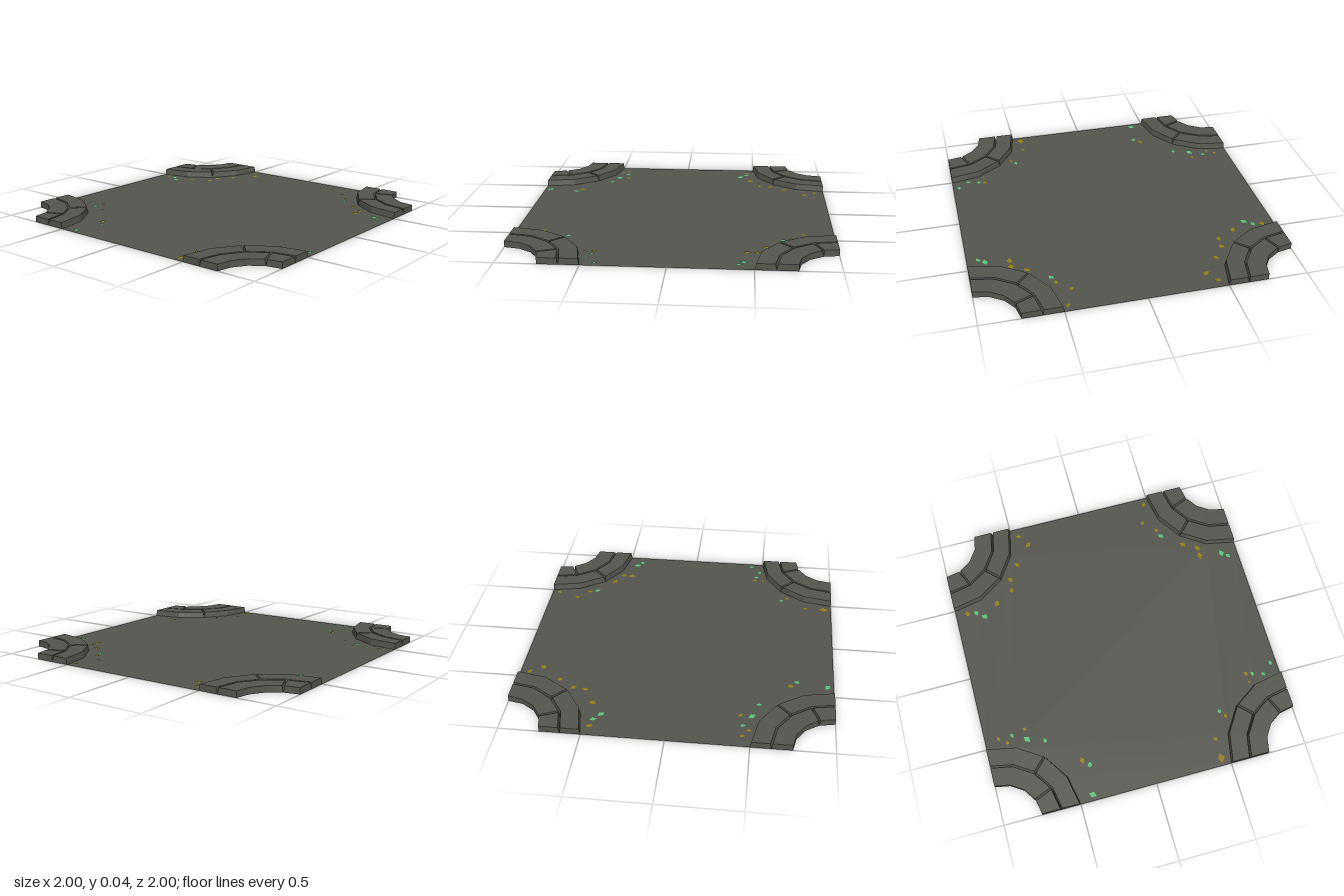
import * as THREE from 'three';

const stone = new THREE.MeshStandardMaterial({ color: 0x565650, side: THREE.DoubleSide });
stone.name = 'greyStone';
const gold = new THREE.MeshStandardMaterial({ color: 0x95820c, side: THREE.DoubleSide });
gold.name = 'goldLeaf';
const green = new THREE.MeshStandardMaterial({ color: 0x58c878, side: THREE.DoubleSide });
green.name = 'greenLeaf';

const HEIGHT = 0.04, BEVEL = 0.007, STEP = Math.PI / 8;

function flatMesh(points, material, name) {
  const g = new THREE.BufferGeometry();
  g.setAttribute('position', new THREE.Float32BufferAttribute(points.flat(), 3));
  g.computeVertexNormals();
  const mesh = new THREE.Mesh(g, material);
  mesh.name = name;
  return mesh;
}

// Curved slab, open underneath, around the tile corner (1, 1), from step s0 to step s1
function curbSlab(name, r0, r1, s0, s1, bevelIn, bevelOut) {
  const sections = [];
  for (let s = s0; s <= s1; s++) {
    // tops draw back from a joint, but stay flush with the tile border
    const shift = s === s0 && s > 0 ? 1 : s === s1 && s < 4 ? -1 : 0;
    const at = (r, y) => {
      const t = s * STEP + (y > 0 ? shift * BEVEL / r : 0);
      return [1 - r * Math.sin(t), y, 1 - r * Math.cos(t)];
    };
    sections.push([at(r0, 0), at(r0 + bevelIn, HEIGHT), at(r1 - bevelOut, HEIGHT), at(r1, 0)]);
  }
  const points = [];
  const quad = (a, b, c, d) => points.push(a, b, c, a, c, d);
  for (let k = 0; k < sections.length - 1; k++) {
    const p = sections[k], q = sections[k + 1];
    for (let j = 0; j < 3; j++) quad(p[j], p[j + 1], q[j + 1], q[j]);
  }
  quad(...[...sections[0]].reverse());
  quad(...sections[sections.length - 1]);
  return flatMesh(points, stone, name);
}

// Ground with a faceted quarter circle cut from each corner
function roadSurface() {
  const outline = [];
  for (let c = 0; c < 4; c++) {
    const turn = c * Math.PI / 2;
    for (let s = 4; s >= 0; s--) {
      const p = new THREE.Vector2(1 - 0.5 * Math.sin(s * STEP), 1 - 0.5 * Math.cos(s * STEP));
      // walk each arc so that the outline runs round the tile
      outline.push(new THREE.Vector2(p.y, p.x).rotateAround(new THREE.Vector2(), turn));
    }
  }
  const sorted = outline.sort((a, b) => Math.atan2(a.y, a.x) - Math.atan2(b.y, b.x));
  const g = new THREE.ShapeGeometry(new THREE.Shape(sorted));
  g.rotateX(-Math.PI / 2);
  const mesh = new THREE.Mesh(g, stone);
  mesh.name = 'roadSurface';
  return mesh;
}

// Scattered leaves: [x, z, half length, turn]
const goldLeaves = [
  [-0.45, -0.91, 0.018, 0.3], [-0.49, -0.86, 0.017, 0.2], [-0.43, -0.73, 0.018, 0.9], [-0.73, -0.42, 0.025, 0.2],
  [0.46, -0.92, 0.024, 0.3], [0.48, -0.71, 0.026, -0.4], [0.55, -0.59, 0.022, 0], [0.63, -0.58, 0.025, 0.7],
  [0.73, -0.51, 0.022, 0.6], [0.86, -0.40, 0.026, -0.7], [0.94, -0.45, 0.022, 1.2],
  [-0.95, 0.45, 0.034, 0.1], [-0.82, 0.45, 0.019, 0.8], [-0.69, 0.56, 0.018, 0.4], [-0.51, 0.78, 0.012, 0.2],
  [-0.45, 0.78, 0.02, 0.5], [0.81, 0.42, 0.019, -0.5], [0.95, 0.47, 0.02, -0.4], [0.73, 0.50, 0.02, 0.2],
  [0.575, 0.65, 0.025, 0.9], [0.46, 0.74, 0.028, 0.1], [0.52, 0.74, 0.026, 0.2],
];
const greenLeaves = [
  [-0.45, -0.82, 0.018, 0.5], [-0.50, -0.73, 0.028, 0.8], [-0.54, -0.62, 0.019, 0.1], [-0.96, -0.41, 0.028, 1.1],
  [-0.77, -0.38, 0.022, -0.3], [0.45, -0.86, 0.023, 0.4], [0.41, -0.81, 0.027, 0.9],
  [-0.65, 0.53, 0.018, 0.3], [-0.46, 0.82, 0.019, 0.2], [-0.48, 0.89, 0.018, 0.8], [-0.42, 0.96, 0.019, 0.2],
  [0.68, 0.52, 0.024, 0.8], [0.44, 0.89, 0.028, 0.3], [0.41, 0.93, 0.021, 0.7],
];

function leaves(list, material, name) {
  const kite = [[1, 0], [0.15, 0.65], [-0.9, 0.25], [-0.1, -0.65]];
  const points = [];
  for (const [x, z, size, turn] of list) {
    const c = Math.cos(turn) * size, s = Math.sin(turn) * size;
    const p = kite.map(([u, v]) => [x + u * c - v * s, 0.003, z - u * s - v * c]);
    points.push(p[0], p[1], p[2], p[0], p[2], p[3]);
  }
  return flatMesh(points, material, name);
}

export function createModel() {
  const model = new THREE.Group();
  model.name = 'crossroadTile';
  model.add(roadSurface());

  // Two staggered rings of kerb slabs, turned into each corner
  for (let c = 0; c < 4; c++) {
    const corner = new THREE.Group();
    corner.name = 'cornerKerb' + (c + 1);
    corner.add(
      curbSlab('outerSlabA', 0.375, 0.5, 0, 2, BEVEL, BEVEL),
      curbSlab('outerSlabB', 0.375, 0.5, 2, 4, BEVEL, BEVEL),
      curbSlab('innerSlabA', 0.25, 0.375, 0, 1, 0, BEVEL),
      curbSlab('innerSlabB', 0.25, 0.375, 1, 4, 0, BEVEL),
    );
    corner.rotation.y = -c * Math.PI / 2;
    model.add(corner);
  }

  model.add(leaves(goldLeaves, gold, 'goldLeaves'), leaves(greenLeaves, green, 'greenLeaves'));
  return model;
}
